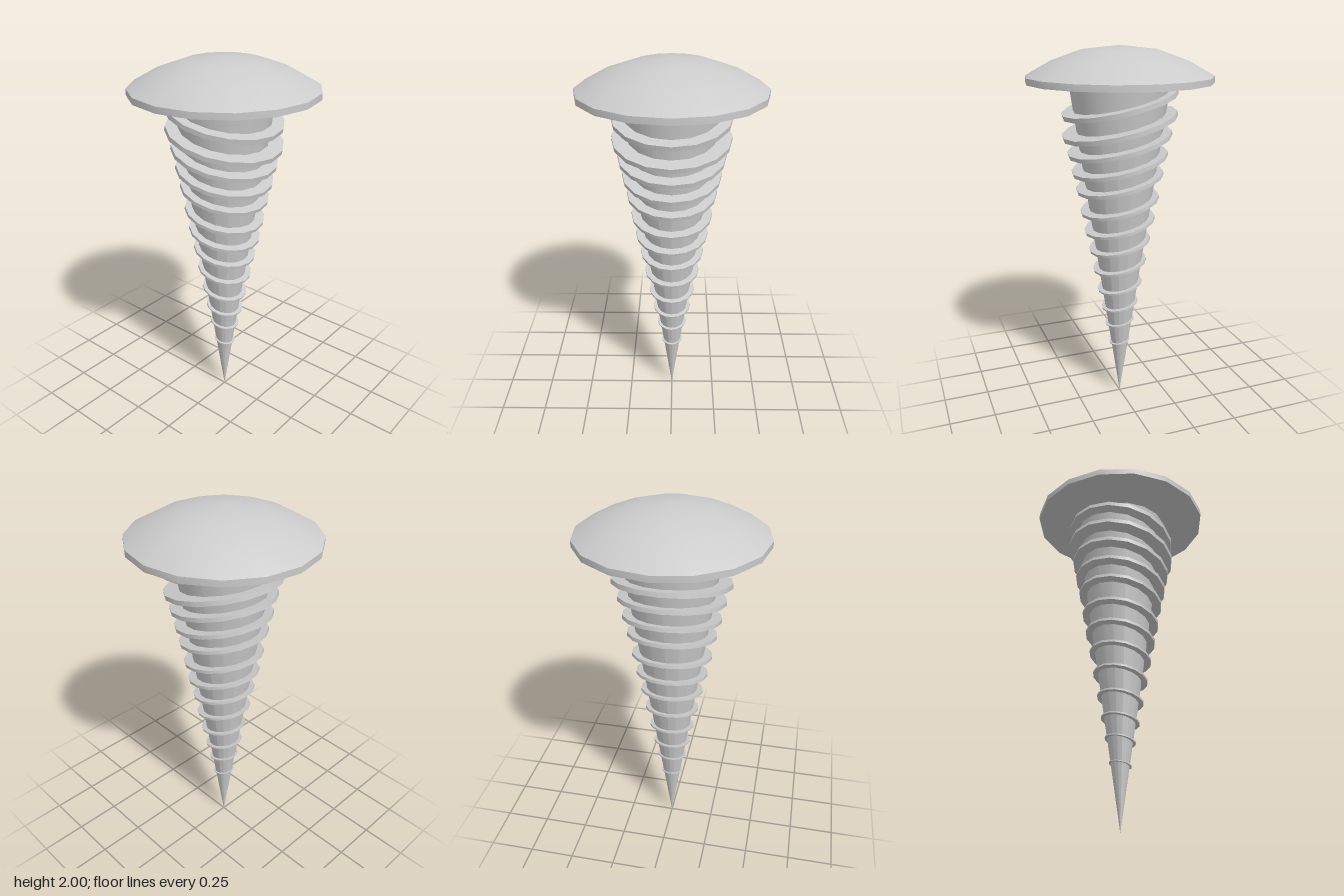
import * as THREE from 'three';
import { toCreasedNormals } from 'three/addons/utils/BufferGeometryUtils.js';

const SIDES = 16;
const material = new THREE.MeshStandardMaterial({ color: 0xcccccc });

function addPart(parent, name, geometry) {
  const mesh = new THREE.Mesh(geometry, material);
  mesh.name = name;
  parent.add(mesh);
  return mesh;
}

export function createModel() {
  const screw = new THREE.Group();
  screw.name = 'screw';

  // Domed head with a thin upright rim and a shallow underside
  const profile = [
    [0, 1.79], [0.26, 1.793], [0.488, 1.815], [0.488, 1.848],
    [0.355, 1.922], [0.2, 1.977], [0, 2],
  ].map(([r, y]) => new THREE.Vector2(r, y));
  const head = new THREE.LatheGeometry(profile, SIDES);
  addPart(screw, 'head', toCreasedNormals(head, Math.PI / 5));

  // Shaft tapering to a point at the ground
  const shaft = new THREE.CylinderGeometry(0.263, 0, 1.8, SIDES);
  addPart(screw, 'shaft', shaft.translate(0, 0.9, 0));

  // Thread: tilted discs that shrink toward the tip, [radius, centre height]
  const threads = new THREE.Group();
  threads.name = 'threads';
  screw.add(threads);
  const discs = [
    [0.31, 1.71], [0.31, 1.597], [0.283, 1.5], [0.262, 1.396], [0.24, 1.295],
    [0.218, 1.168], [0.197, 1.054], [0.173, 0.94], [0.151, 0.818],
    [0.127, 0.692], [0.105, 0.575], [0.083, 0.467], [0.06, 0.34],
  ];
  discs.forEach(([radius, y], i) => {
    const disc = new THREE.CylinderGeometry(radius, radius, radius * 0.08, SIDES);
    const mesh = addPart(threads, `thread${i + 1}`, disc);
    mesh.position.y = y;
    mesh.rotation.x = 0.225;
  });

  return screw;
}
